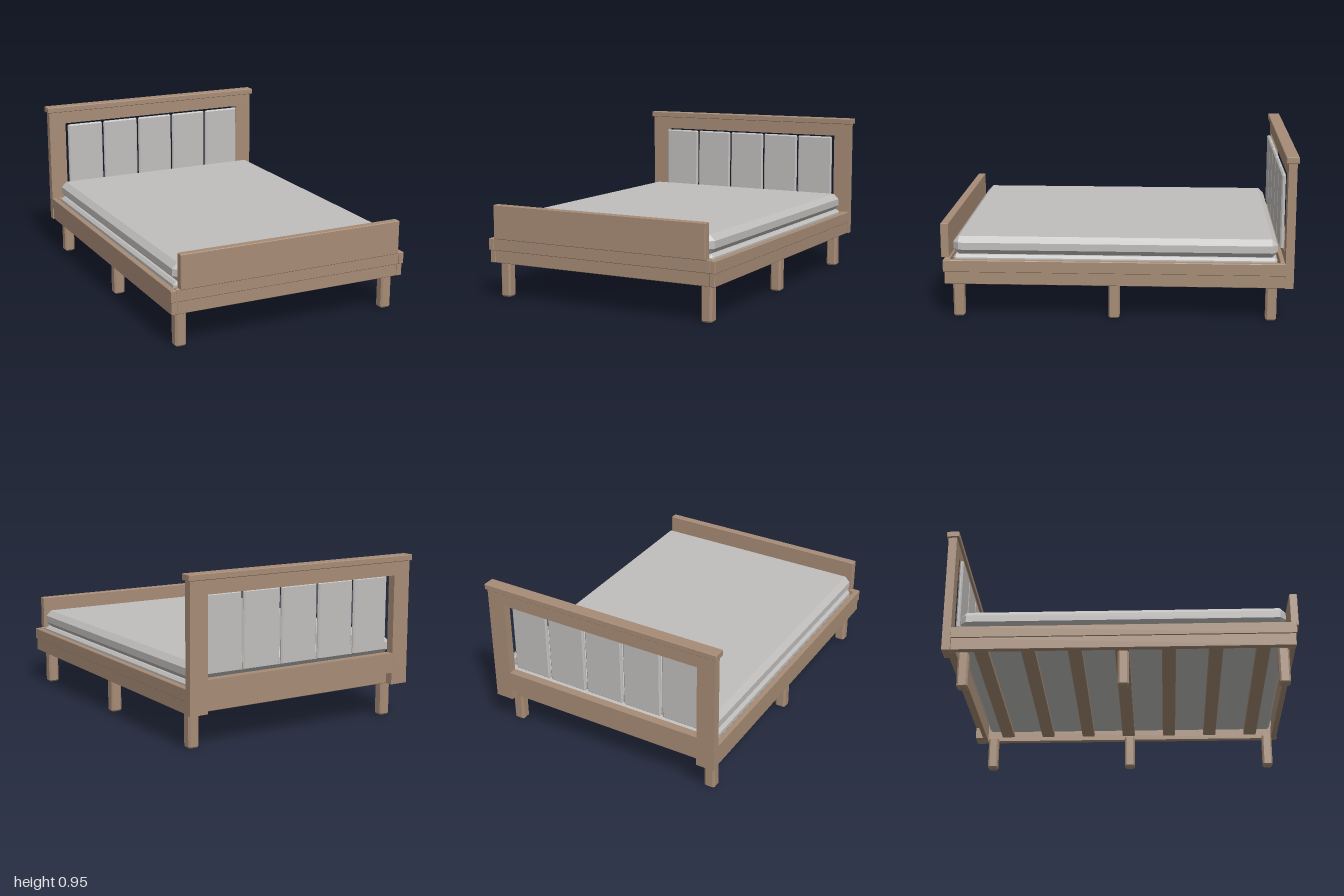
import * as THREE from 'three';
import { ConvexGeometry } from 'three/addons/geometries/ConvexGeometry.js';

const wood = new THREE.MeshStandardMaterial({ color: 0xa78c76 });
wood.name = 'wood';
const fabric = new THREE.MeshStandardMaterial({ color: 0xc0bfbd });
fabric.name = 'greyFabric';

// Box with chamfered edges, given by its limits on each axis
function block(name, material, [x0, x1], [y0, y1], [z0, z1], c = 0.003) {
  const h = [(x1 - x0) / 2, (y1 - y0) / 2, (z1 - z0) / 2];
  const points = [];
  for (const sx of [-1, 1]) for (const sy of [-1, 1]) for (const sz of [-1, 1]) {
    for (let axis = 0; axis < 3; axis++) {
      const [x, y, z] = h.map((v, i) => (i === axis ? v : v - c));
      points.push(new THREE.Vector3(sx * x, sy * y, sz * z));
    }
  }
  const mesh = new THREE.Mesh(new ConvexGeometry(points), material);
  mesh.position.set((x0 + x1) / 2, (y0 + y1) / 2, (z0 + z1) / 2);
  mesh.name = name;
  return mesh;
}

// Limits of a span on the left (+1) or right (-1) side
const side = (s, a, b) => (s > 0 ? [a, b] : [-b, -a]);

function createHeadboard() {
  const g = new THREE.Group();
  g.name = 'headboard';
  // Frame outline with short feet below the bottom rail, and an open window
  const frame = new THREE.Shape();
  [[-0.73, 0.205], [-0.62, 0.205], [-0.62, 0.275], [0.62, 0.275], [0.62, 0.205],
    [0.73, 0.205], [0.73, 0.92], [-0.73, 0.92]]
    .forEach(([x, y], i) => (i ? frame.lineTo(x, y) : frame.moveTo(x, y)));
  const opening = new THREE.Path();
  opening.moveTo(-0.622, 0.39).lineTo(-0.622, 0.842).lineTo(0.622, 0.842).lineTo(0.622, 0.39);
  opening.closePath();
  frame.holes.push(opening);
  const mesh = new THREE.Mesh(
    new THREE.ExtrudeGeometry(frame, { depth: 0.048, bevelEnabled: false }), wood);
  mesh.position.z = -0.988;
  mesh.name = 'headboardFrame';
  g.add(mesh, block('headboardCap', wood, [-0.742, 0.742], [0.92, 0.955], [-0.998, -0.926]));
  // Five upholstered panels
  for (let i = -2; i <= 2; i++) {
    const x = i * 0.247;
    g.add(block('headboardPanel', fabric, [x - 0.118, x + 0.118], [0.4, 0.835], [-0.937, -0.914], 0.008));
  }
  return g;
}

function createFrame() {
  const g = new THREE.Group();
  g.name = 'bedFrame';
  for (const s of [-1, 1]) {
    g.add(block('upperSideRail', wood, side(s, 0.697, 0.73), [0.277, 0.346], [-0.942, 0.983]));
    g.add(block('lowerSideRail', wood, side(s, 0.69, 0.724), [0.205, 0.28], [-0.94, 0.976]));
    for (const z of [-0.87, 0.019, 0.906]) {
      g.add(block('leg', wood, side(s, 0.62, 0.685), [0, 0.21], [z - 0.031, z + 0.031], 0.01));
    }
  }
  // End rails and footboard
  g.add(block('upperFootRail', wood, [-0.698, 0.698], [0.277, 0.35], [0.946, 0.979]));
  g.add(block('lowerFootRail', wood, [-0.691, 0.691], [0.205, 0.28], [0.94, 0.973]));
  g.add(block('headRail', wood, [-0.691, 0.691], [0.205, 0.345], [-0.942, -0.915]));
  g.add(block('footboard', wood, [-0.68, 0.68], [0.348, 0.545], [0.955, 1]));
  // Slats across the bed
  for (let i = -3; i <= 3; i++) {
    const z = 0.01 + i * 0.264;
    g.add(block('slat', wood, [-0.698, 0.698], [0.235, 0.265], [z - 0.04, z + 0.04]));
  }
  return g;
}

export function createModel() {
  const bed = new THREE.Group();
  bed.name = 'bed';
  bed.add(createHeadboard(), createFrame());
  bed.add(block('mattressBase', fabric, [-0.687, 0.687], [0.265, 0.366], [-0.9, 0.93], 0.015));
  bed.add(block('mattress', fabric, [-0.687, 0.687], [0.364, 0.469], [-0.9, 0.932], 0.032));
  return bed;
}
